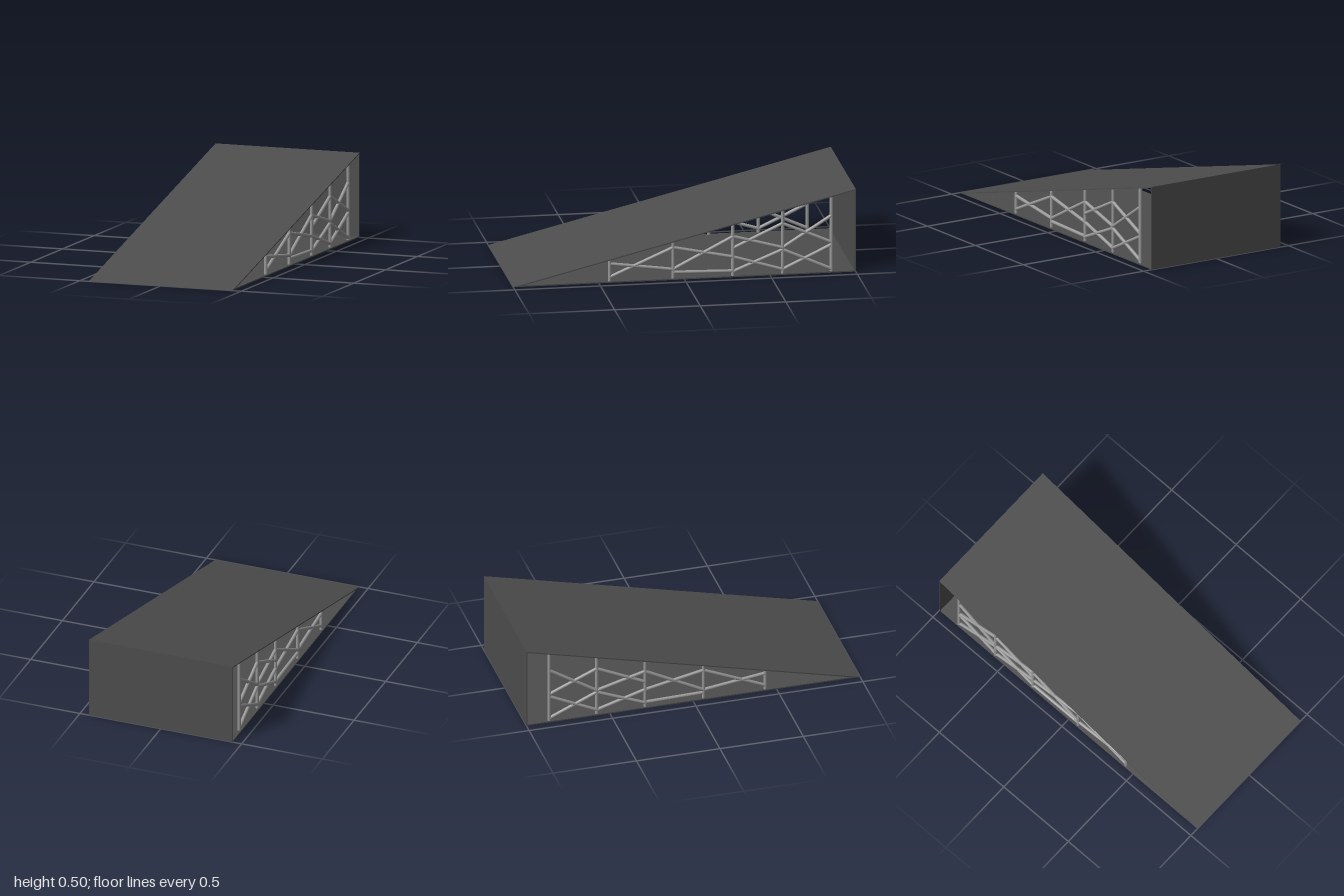
import * as THREE from 'three';

const WIDTH = 0.89, HEIGHT = 0.495, T = 0.007;
const slopeY = z => HEIGHT * (1 - z) / 2;

export function createModel() {
  const model = new THREE.Group();
  model.name = 'ramp';
  const panelMat = new THREE.MeshStandardMaterial({ color: 0x4d4d4d });
  const tubeMat = new THREE.MeshStandardMaterial({ color: 0x999999 });

  // Side profile given as [z, y] corners, extruded across the full width
  function panel(name, points) {
    const shape = new THREE.Shape(points.map(([z, y]) => new THREE.Vector2(-z, y)));
    const geo = new THREE.ExtrudeGeometry(shape, { depth: WIDTH, bevelEnabled: false });
    geo.rotateY(Math.PI / 2).translate(-WIDTH / 2, 0, 0);
    const mesh = new THREE.Mesh(geo, panelMat);
    mesh.name = name;
    model.add(mesh);
  }

  // Thin wedge shell: sloping deck, floor and back wall
  const tip = 1 - 4 * T / HEIGHT, back = -1 + T;
  panel('deck', [[1, 0], [tip, T], [-1, HEIGHT - T], [-1, HEIGHT]]);
  panel('floor', [[1, 0], [-1, 0], [-1, T], [tip, T]]);
  panel('backWall', [[back, T], [-1, T], [-1, HEIGHT - T], [back, slopeY(back) - T]]);

  // Post positions along z, and braces as [post index, y, y at the next post]
  const posts = [0.435, 0.065, -0.285, -0.575, -0.86];
  const braces = [
    [0, 0.11, 0.06], [0, 0.03, 0.19],
    [1, 0.19, 0.118], [1, 0.06, 0.24], [1, 0.042, 0.034],
    [2, 0.24, 0.16], [2, 0.17, 0.305], [2, 0.118, 0.03], [2, 0.03, 0.148],
    [3, 0.305, 0.18], [3, 0.16, 0.34], [3, 0.148, 0.02], [3, 0.03, 0.165],
  ];

  // Round bar between two [z, y] points
  function bar(name, [z0, y0], [z1, y1]) {
    const a = new THREE.Vector3(0, y0, z0), b = new THREE.Vector3(0, y1, z1);
    const dir = b.clone().sub(a);
    const mesh = new THREE.Mesh(new THREE.CylinderGeometry(0.01, 0.01, dir.length(), 12), tubeMat);
    mesh.position.copy(a).add(b).multiplyScalar(0.5);
    mesh.quaternion.setFromUnitVectors(new THREE.Vector3(0, 1, 0), dir.normalize());
    mesh.name = name;
    return mesh;
  }

  // The same truss stands just inside each open side
  for (const side of [1, -1]) {
    const truss = new THREE.Group();
    truss.name = side > 0 ? 'leftTruss' : 'rightTruss';
    truss.position.x = side * 0.43;
    for (const z of posts) truss.add(bar('post', [z, T], [z, slopeY(z) - T]));
    for (const [i, y0, y1] of braces) truss.add(bar('brace', [posts[i], y0], [posts[i + 1], y1]));
    model.add(truss);
  }
  return model;
}
